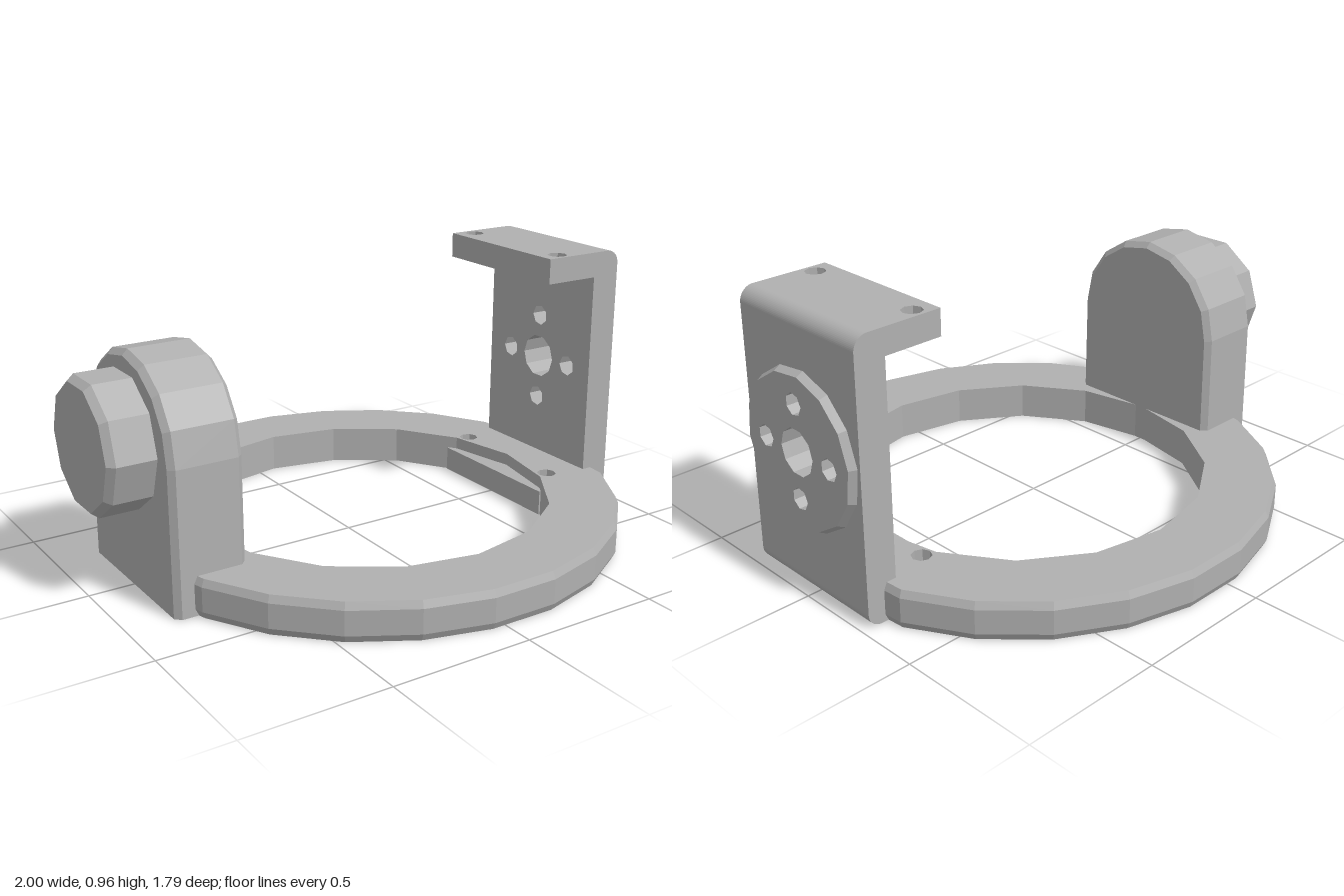
import * as THREE from 'three';

const RING_X = 0.07, AXIS_Y = 0.51;

// Points of a regular polygon
function polygon(cx, cy, r, n, start = 0) {
  return Array.from({ length: n }, (_, i) => {
    const a = start + (i / n) * Math.PI * 2;
    return new THREE.Vector2(cx + r * Math.cos(a), cy + r * Math.sin(a));
  });
}

function shapeWithHoles(points, holes) {
  const s = new THREE.Shape(points);
  for (const h of holes) s.holes.push(new THREE.Path(h));
  return s;
}

function rect(x0, x1, y0, y1) {
  return [[x0, y0], [x1, y0], [x1, y1], [x0, y1]].map(p => new THREE.Vector2(...p));
}

// Plan shape (x, -z) raised from y0
function extrudeUp(shape, y0, depth, steps = 1) {
  return new THREE.ExtrudeGeometry(shape, { depth, steps, bevelEnabled: false })
    .rotateX(-Math.PI / 2).translate(0, y0, 0);
}

// Side shape (-z, y) pushed along x from x0
function extrudeAlongX(shape, x0, depth, options = {}) {
  return new THREE.ExtrudeGeometry(shape, { depth, bevelEnabled: false, ...options })
    .rotateY(Math.PI / 2).translate(x0, 0, 0);
}

// Move every vertex by a rule
function reshape(geometry, rule) {
  const p = geometry.attributes.position, v = new THREE.Vector3();
  for (let i = 0; i < p.count; i++) {
    rule(v.fromBufferAttribute(p, i));
    p.setXYZ(i, v.x, v.y, v.z);
  }
  geometry.computeVertexNormals();
  return geometry;
}

export function createModel() {
  const group = new THREE.Group();
  const metal = new THREE.MeshStandardMaterial({ color: 0xb0b0b0, flatShading: true });
  metal.name = 'grey metal';
  const add = (name, geometry, parent = group) => {
    const mesh = new THREE.Mesh(geometry, metal);
    mesh.name = name;
    parent.add(mesh);
    return mesh;
  };

  const screwHoles = () => [-1, 1].map(s => polygon(0.725, s * 0.235, 0.035, 8));
  const hornHoles = () => [
    polygon(0, AXIS_Y, 0.08, 10),
    ...[0, 1, 2, 3].map(i => {
      const a = i * Math.PI / 2;
      return polygon(0.16 * Math.cos(a), AXIS_Y + 0.16 * Math.sin(a), 0.038, 7);
    }),
  ];

  // Base ring, trimmed where it meets the bracket, with eased outer edges
  const outer = polygon(RING_X, 0, 0.905, 24, Math.PI / 24);
  outer.forEach(p => { p.x = Math.min(p.x, 0.925); });
  const ringShape = shapeWithHoles(outer, [polygon(RING_X, 0, 0.66, 16), ...screwHoles()]);
  add('baseRing', reshape(extrudeUp(ringShape, 0, 0.135, 3), v => {
    const layer = Math.round(v.y / 0.045);
    v.y = [0, 0.025, 0.11, 0.135][layer];
    if (Math.hypot(v.x - RING_X, v.z) > 0.8 && layer % 3 === 0) {
      v.x = RING_X + (v.x - RING_X) * 0.987;
      v.z *= 0.987;
    }
  }));

  // C-shaped bracket: wall, two flanges and two rounded bends
  const bracket = new THREE.Group();
  bracket.name = 'bracket';
  group.add(bracket);
  add('bracketWall', extrudeAlongX(
    shapeWithHoles(rect(-0.28, 0.28, 0.09, 0.87), hornHoles()), 0.865, 0.11), bracket);
  const flange = () => shapeWithHoles(rect(0.655, 0.865, -0.28, 0.28), screwHoles());
  add('lowerFlange', extrudeUp(flange(), 0, 0.09), bracket);
  add('upperFlange', extrudeUp(flange(), 0.87, 0.09), bracket);
  for (const top of [true, false]) {
    const bend = new THREE.Shape();
    if (top) {
      bend.moveTo(0.865, 0.87).lineTo(0.975, 0.87).lineTo(0.975, 0.91);
      bend.absarc(0.925, 0.91, 0.05, 0, Math.PI / 2, false);
      bend.lineTo(0.865, 0.96);
    } else {
      bend.moveTo(0.865, 0.09).lineTo(0.865, 0).lineTo(0.925, 0);
      bend.absarc(0.925, 0.05, 0.05, -Math.PI / 2, 0, false);
      bend.lineTo(0.975, 0.09);
    }
    add(top ? 'upperBend' : 'lowerBend', new THREE.ExtrudeGeometry(bend,
      { depth: 0.56, bevelEnabled: false, curveSegments: 8 }).translate(0, 0, -0.28), bracket);
  }

  // Round mounting plate on the bracket, tapering outward
  const plate = shapeWithHoles(polygon(0, AXIS_Y, 0.27, 14, 0.12), hornHoles());
  add('mountingPlate', reshape(extrudeAlongX(plate, 0.975, 0.025), v => {
    if (v.x > 0.99 && Math.hypot(v.y - AXIS_Y, v.z) > 0.23) {
      v.y = AXIS_Y + (v.y - AXIS_Y) * 0.95;
      v.z *= 0.95;
    }
  }));

  // Arched arm with chamfered faces; its foot is cut flat at the ground
  const arch = [new THREE.Vector2(-0.315, -0.1), new THREE.Vector2(0.315, -0.1)];
  for (let i = 0; i <= 8; i++) {
    const a = i * Math.PI / 8;
    arch.push(new THREE.Vector2(0.31 * Math.cos(a), 0.495 + 0.307 * Math.sin(a)));
  }
  add('archedArm', reshape(extrudeAlongX(new THREE.Shape(arch), -0.82, 0.215, {
    bevelEnabled: true, bevelThickness: 0.02, bevelSize: 0.02, bevelOffset: -0.02, bevelSegments: 1,
  }), v => { v.y = Math.max(v.y, 0); }));

  // Pivot knob on the outside of the arm
  const profile = [[0.23, 0.8], [0.23, 0.975], [0.21, 1], [0, 1]].map(p => new THREE.Vector2(...p));
  add('pivotKnob', new THREE.LatheGeometry(profile, 10)
    .rotateZ(Math.PI / 2).translate(0, AXIS_Y, 0));

  return group;
}
